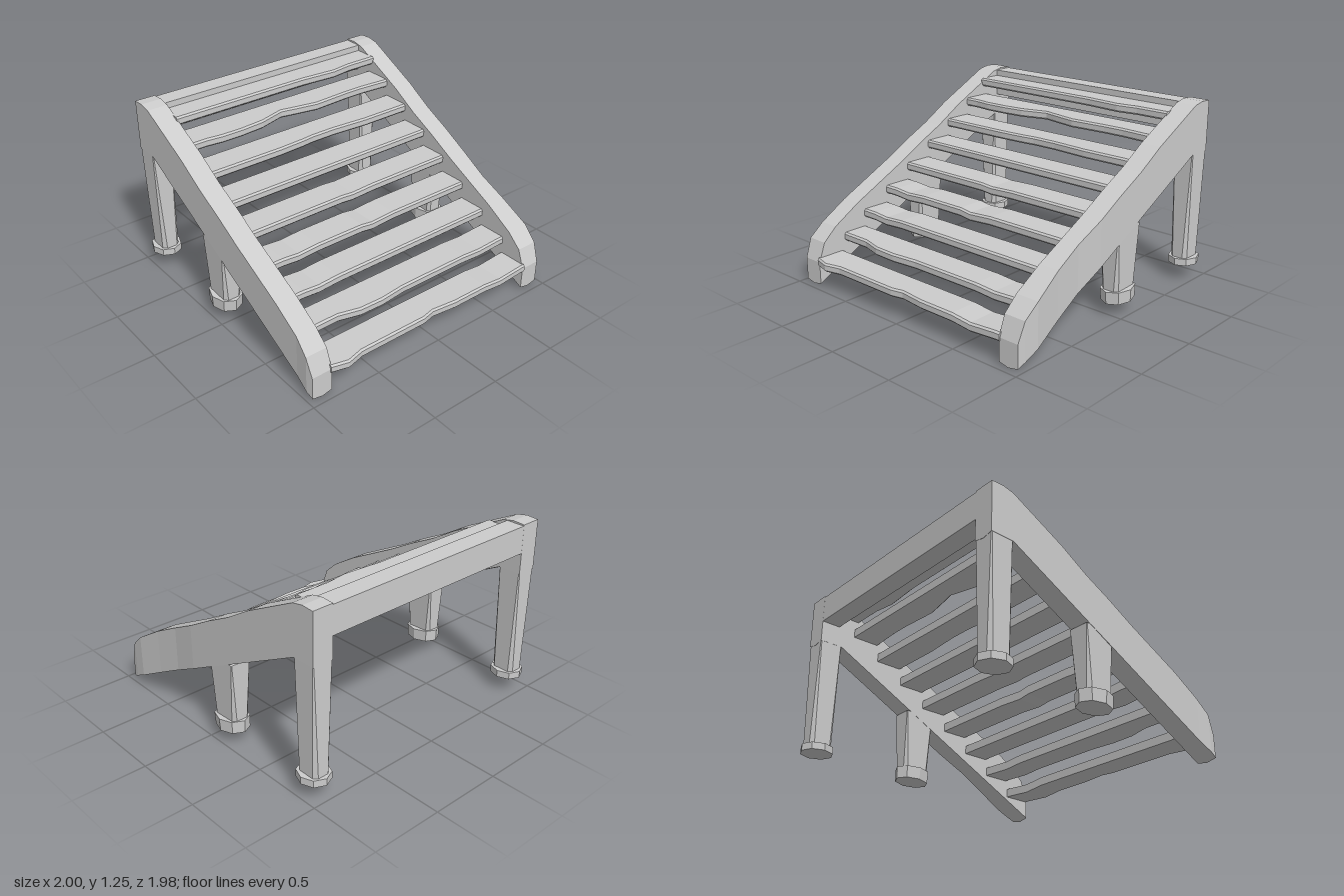
import * as THREE from 'three';

const material = new THREE.MeshStandardMaterial({ color: 0xcccccc, flatShading: true });

// Skins a list of convex rings (counter-clockwise about the travel direction) and caps both ends
function loft(rings) {
  const n = rings[0].length, last = (rings.length - 1) * n, index = [];
  for (let r = 0; r < rings.length - 1; r++) {
    for (let i = 0; i < n; i++) {
      const a = r * n + i, b = r * n + (i + 1) % n;
      index.push(a, b, b + n, a, b + n, a + n);
    }
  }
  for (let i = 1; i < n - 1; i++) index.push(0, i + 1, i, last, last + i, last + i + 1);
  const geo = new THREE.BufferGeometry();
  geo.setAttribute('position', new THREE.Float32BufferAttribute(rings.flat(2), 3));
  geo.setIndex(index);
  const flat = geo.toNonIndexed();
  flat.computeVertexNormals();
  return flat;
}

function add(parent, name, geo, x = 0, y = 0, z = 0) {
  const mesh = new THREE.Mesh(geo, material);
  mesh.name = name;
  mesh.position.set(x, y, z);
  parent.add(mesh);
  return mesh;
}

// Sloping side board: top edge follows [z, y] stations, underside is straight with a shallow ridge
const TOP_EDGE = [
  [-0.965, 1.26], [-0.88, 1.265], [-0.8, 1.25], [-0.62, 1.16], [-0.4, 1.05], [-0.2, 0.93], [0, 0.83],
  [0.2, 0.72], [0.4, 0.62], [0.6, 0.52], [0.8, 0.4], [0.9, 0.31], [0.95, 0.18],
];

function stringer(side, bulge) {
  return loft(TOP_EDGE.map(([z, top], i) => {
    const bottom = 0.01 + (0.95 - Math.max(z, -0.8)) * 0.508;
    const outer = side * (0.97 + (bulge[i] || 0)), inner = side * 0.825;
    const hi = Math.max(outer, inner), lo = Math.min(outer, inner);
    return [[hi, top, z], [lo, top, z], [lo, bottom + 0.015, z],
      [side * 0.897, bottom, z], [hi, bottom + 0.015, z]];
  }));
}

// Leg: rectangular at the top, tapering to a chamfered rectangle at the foot
function leg(yBottom, yTop, lower, upper) {
  const ring = (y, hx, hz, c) => [
    [-hx + c, y, hz], [hx - c, y, hz], [hx, y, hz - c], [hx, y, -hz + c],
    [hx - c, y, -hz], [-hx + c, y, -hz], [-hx, y, -hz + c], [-hx, y, hz - c],
  ];
  return loft([ring(yBottom, ...lower, 0.025), ring(yTop, ...upper, 0.004)]);
}

// Tread: bevelled plank running along x, with small worn kinks {station: [dz, dy]} in its front edge
const TREAD_X = [-0.835, -0.72, -0.6, -0.45, -0.28, -0.09, 0, 0.18, 0.45, 0.6, 0.8, 0.835];

function tread(depth, kinks) {
  const h = 0.03, c = 0.012;
  return loft(TREAD_X.map((x, i) => {
    const [dz, dy] = kinks[i] || [0, 0];
    return [[x, h + dy, -depth], [x, h + dy, dz - c], [x, h - c + dy, dz],
      [x, -h + c + dy, dz], [x, -h + dy, dz - c], [x, -h + dy, -depth]];
  }));
}

const KINKS = [
  { 1: [0.03, 0], 6: [-0.02, 0], 9: [0, -0.015] },
  { 0: [-0.025, 0], 1: [-0.025, 0], 2: [-0.025, 0], 3: [0.015, 0], 4: [0.02, 0], 9: [0, -0.01] },
  { 2: [0, -0.01] },
  { 2: [0, -0.01], 6: [0, -0.012] },
  { 6: [0, -0.008] },
  {},
  { 5: [-0.01, 0], 6: [-0.02, 0], 7: [-0.02, 0] },
  { 2: [0.015, 0], 3: [0.015, 0], 5: [-0.055, 0], 6: [-0.035, 0], 8: [-0.015, 0], 9: [-0.015, 0] },
  { 8: [0.022, 0] },
];

export function createModel() {
  const model = new THREE.Group();
  model.name = 'slattedSteps';

  // Side boards with legs and octagonal feet
  const bulges = { 1: { 8: -0.012, 10: 0.02, 11: 0.01 }, [-1]: { 11: 0.008 } };
  for (const side of [1, -1]) {
    const frame = new THREE.Group();
    frame.name = side > 0 ? 'leftSide' : 'rightSide';
    model.add(frame);
    add(frame, 'stringer', stringer(side, bulges[side]));

    const x = side * 0.897;
    add(frame, 'backLeg', leg(0.14, 0.95, [0.062, 0.082], [0.0715, 0.081]), x, 0, -0.882);
    add(frame, 'middleLeg', leg(0.14, 0.6, [0.062, 0.1], [0.0715, 0.112]), x, 0, -0.1);

    const backFoot = add(frame, 'backFoot', new THREE.CylinderGeometry(0.113, 0.113, 0.048, 8), x, 0.141, -0.882);
    backFoot.scale.x = 0.91;
    const middleFoot = add(frame, 'middleFoot', new THREE.CylinderGeometry(0.13, 0.125, 0.085, 8), x, 0.138, -0.1);
    middleFoot.scale.x = 0.79;
    middleFoot.rotation.x = 0.04;
  }

  // Cross beam at the top of the steps
  add(model, 'backBeam', new THREE.BoxGeometry(1.66, 0.19, 0.135), 0, 1.157, -0.897);

  // Nine treads climbing to the back
  KINKS.forEach((kinks, i) => {
    const z = i === 8 ? -0.665 : 0.958 - i * 0.2078;
    add(model, 'tread', tread(i === 8 ? 0.17 : 0.206, kinks), 0, 0.182 + i * 0.1247, z);
  });

  return model;
}
